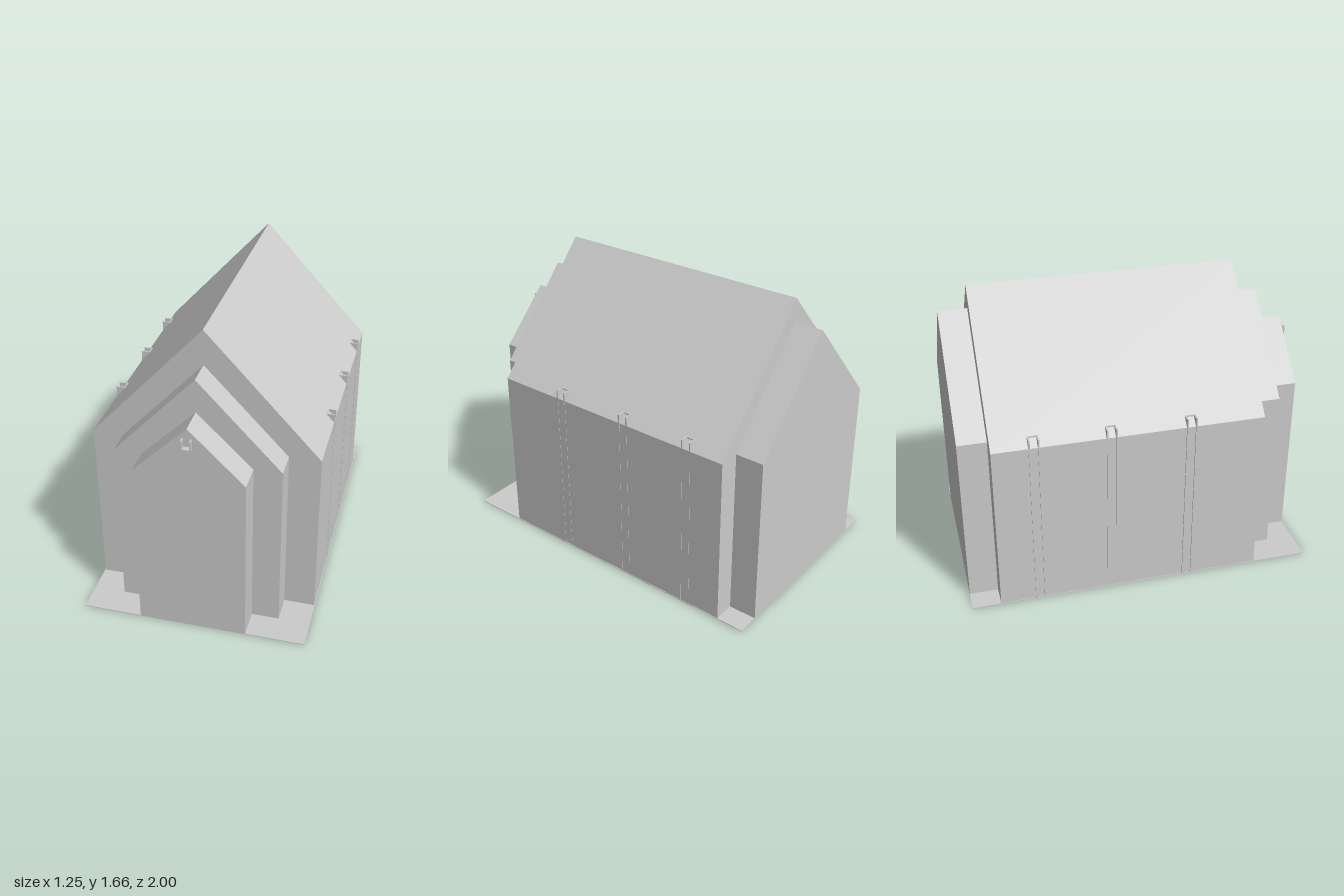
import * as THREE from 'three';

const EAVE = 0.98;

export function createModel() {
  const model = new THREE.Group();
  const material = new THREE.MeshStandardMaterial({ color: 0xcccccc, flatShading: true });

  function add(name, geometry, parent = model) {
    const mesh = new THREE.Mesh(geometry, material);
    mesh.name = name;
    parent.add(mesh);
    return mesh;
  }

  // Box given by its lower and upper corners
  function box(name, min, max, parent) {
    const size = max.map((v, i) => v - min[i]);
    const mesh = add(name, new THREE.BoxGeometry(...size), parent);
    mesh.position.set(...max.map((v, i) => (v + min[i]) / 2));
    return mesh;
  }

  // Gabled volume extruded along z
  function gable(name, halfWidth, ridge, back, front) {
    const outline = new THREE.Shape([
      new THREE.Vector2(-halfWidth, 0),
      new THREE.Vector2(halfWidth, 0),
      new THREE.Vector2(halfWidth, EAVE),
      new THREE.Vector2(0, ridge),
      new THREE.Vector2(-halfWidth, EAVE),
    ]);
    const geometry = new THREE.ExtrudeGeometry(outline, { depth: front - back, bevelEnabled: false });
    geometry.translate(0, 0, back);
    add(name, geometry);
  }

  // Ground slab
  box('groundSlab', [-0.625, 0, -1], [0.625, 0.004, 0.97]);

  // House volumes, stepping down towards both ends
  gable('rearHouse', 0.5, 1.525, -1, -0.84);
  gable('mainHouse', 0.621, 1.657, -0.84, 0.655);
  gable('middlePorch', 0.45, 1.46, 0.655, 0.81);
  gable('frontPorch', 0.298, 1.275, 0.81, 0.97);

  // Channel posts in the side walls, their tips showing above the eaves
  for (const side of [-1, 1]) {
    const outer = side < 0 ? 0.628 : 0.6225;
    for (const z of [0.24, -0.2, -0.615]) {
      const post = new THREE.Group();
      post.name = side > 0 ? 'leftPost' : 'rightPost';
      post.position.z = z;
      model.add(post);
      const span = (name, inner, out, z0, z1) => {
        const xs = [side * inner, side * out].sort((a, b) => a - b);
        box(name, [xs[0], 0, z0], [xs[1], 1.03, z1], post);
      };
      for (const s of [-1, 1]) span('postFlange', 0.575, outer, s * 0.025 - 0.004, s * 0.025 + 0.004);
      span('postWeb', 0.575, 0.582, -0.025, 0.025);
    }
  }

  // Channel beam under the ridge, emerging at the front gable
  const beam = new THREE.Group();
  beam.name = 'ridgeBeam';
  model.add(beam);
  box('beamWeb', [-0.026, 1.165, -1], [0.026, 1.172, 1], beam);
  for (const s of [-1, 1]) {
    box('beamFlange', [s * 0.0225 - 0.0035, 1.172, -1], [s * 0.0225 + 0.0035, 1.22, 1], beam);
  }

  return model;
}
